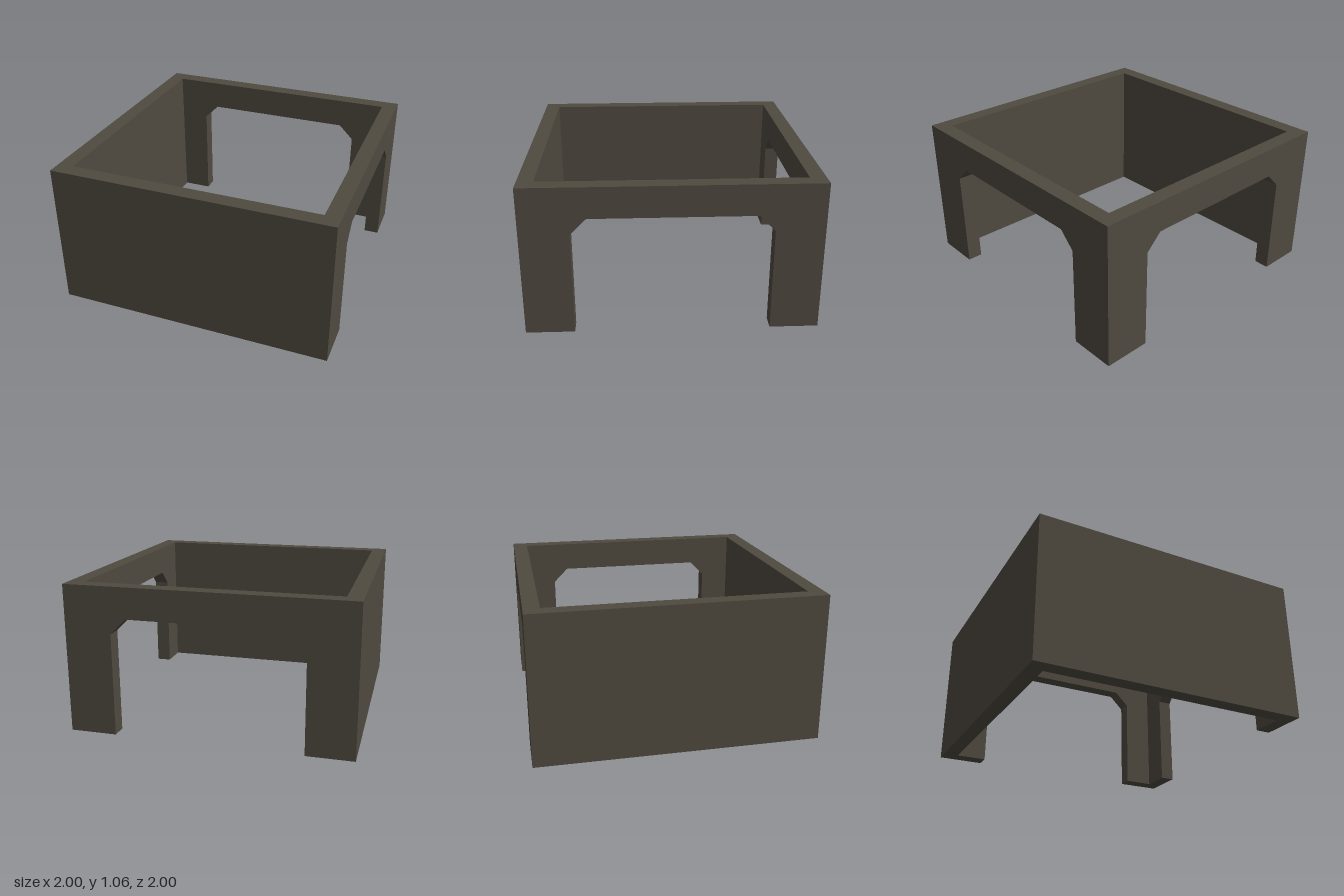
import * as THREE from 'three';

const HEIGHT = 1.056, THICK = 0.11;          // wall height and thickness
const DOOR = 0.667, DOOR_TOP = 0.838, CHAMFER = 0.11;

// One wall, outer face on z = 1, with mitred ends so four walls close into a square
function wallGeometry(open) {
  const opening = [
    [-DOOR, 0], [-DOOR, DOOR_TOP - CHAMFER], [-DOOR + CHAMFER, DOOR_TOP],
    [DOOR - CHAMFER, DOOR_TOP], [DOOR, DOOR_TOP - CHAMFER], [DOOR, 0],
  ];
  const outline = [[-1, 0], ...(open ? opening : []), [1, 0], [1, HEIGHT], [-1, HEIGHT]];
  const shape = new THREE.Shape(outline.map(([x, y]) => new THREE.Vector2(x, y)));
  const geometry = new THREE.ExtrudeGeometry(shape, { depth: THICK, bevelEnabled: false });
  geometry.translate(0, 0, 1 - THICK);

  // Pull the inner corners in along the mitre
  const p = geometry.attributes.position;
  for (let i = 0; i < p.count; i++) {
    if (p.getZ(i) < 1 - THICK / 2 && Math.abs(p.getX(i)) > 0.99) {
      p.setX(i, Math.sign(p.getX(i)) * (1 - THICK));
    }
  }
  geometry.computeVertexNormals();
  return geometry;
}

export function createModel() {
  const model = new THREE.Group();
  model.name = 'squareEnclosure';
  const material = new THREE.MeshStandardMaterial({ color: 0x4f4a40 });
  material.name = 'dark stone';

  // Solid front and right-hand walls, doorways in the other two
  const walls = [
    ['frontWall', 0, false],
    ['leftDoorwayWall', Math.PI / 2, true],
    ['backDoorwayWall', Math.PI, true],
    ['rightWall', -Math.PI / 2, false],
  ];
  for (const [name, angle, open] of walls) {
    const wall = new THREE.Mesh(wallGeometry(open), material);
    wall.name = name;
    wall.rotation.y = angle;
    model.add(wall);
  }
  return model;
}
